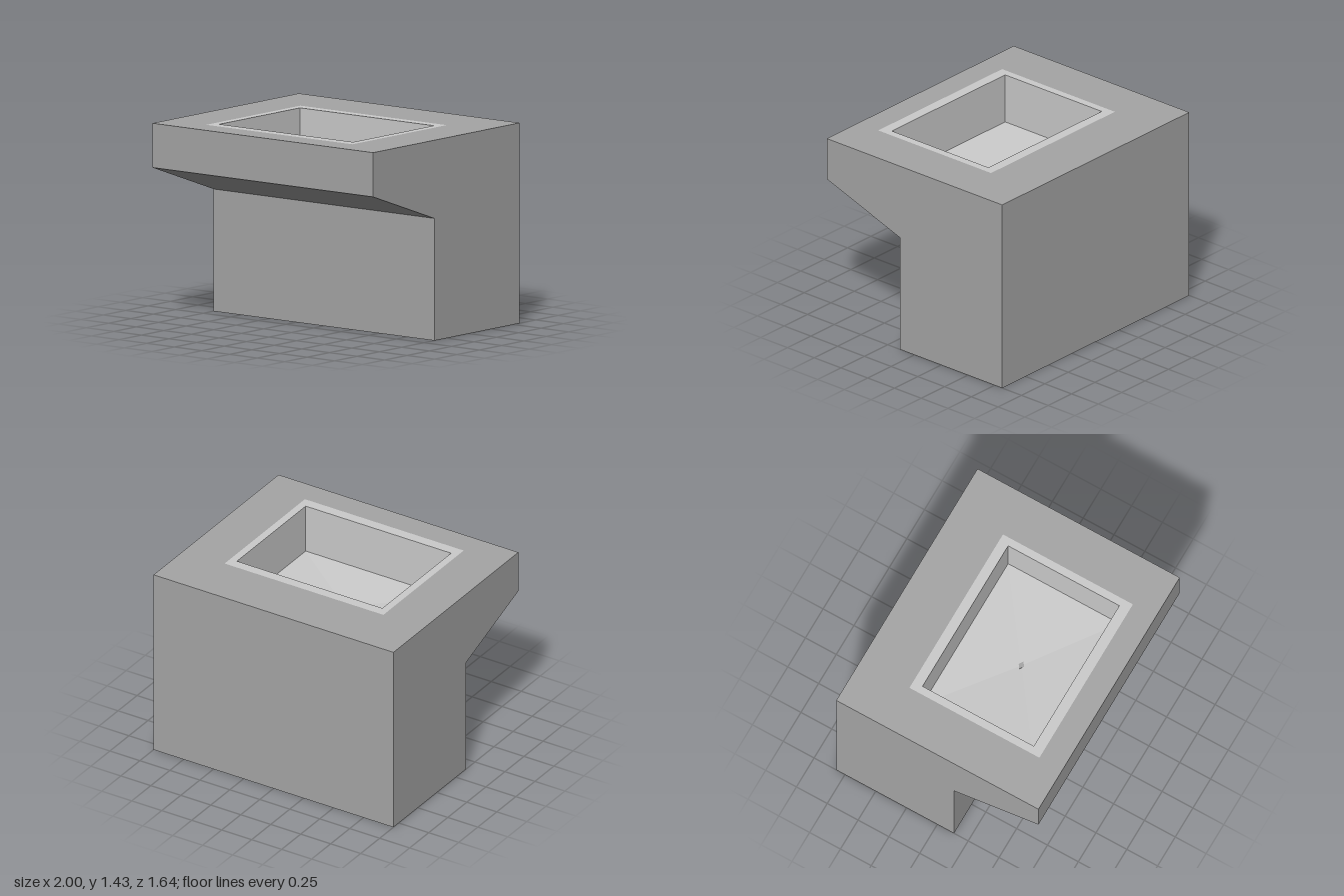
import * as THREE from 'three';

const stone = new THREE.MeshStandardMaterial({ color: 0xa5a5a5 });
stone.name = 'stone grey';
const enamel = new THREE.MeshStandardMaterial({ color: 0xcbcbcb });
enamel.name = 'light enamel';

const TOP = 1.43, FLOOR = 1.063, DRAIN = 1.03, DRAIN_Z = 0.108;

// Corners run counter-clockwise seen from the visible side; each face is a fan.
function faces(list) {
  const pos = [];
  for (const f of list) {
    for (let i = 1; i < f.length - 1; i++) pos.push(...f[0], ...f[i], ...f[i + 1]);
  }
  const g = new THREE.BufferGeometry();
  g.setAttribute('position', new THREE.Float32BufferAttribute(pos, 3));
  g.computeVertexNormals();
  return g;
}

// Rectangle corners in plan, counter-clockwise seen from above.
const rect = (x, z0, z1) => [[-x, z1], [x, z1], [x, z0], [-x, z0]];

// Flat upward-facing frame between two plan rectangles.
function frame(outer, inner) {
  const toV = ([x, z]) => new THREE.Vector2(x, -z);
  const shape = new THREE.Shape(outer.map(toV));
  shape.holes.push(new THREE.Path(inner.map(toV)));
  return new THREE.ShapeGeometry(shape).rotateX(-Math.PI / 2).translate(0, TOP, 0);
}

export function createModel() {
  const model = new THREE.Group();
  model.name = 'washbasin';
  const add = (name, geometry, material) => {
    const m = new THREE.Mesh(geometry, material);
    m.name = name;
    model.add(m);
    return m;
  };

  const block = rect(1, -0.82, 0.82);
  const rim = rect(0.662, -0.42, 0.634);
  const bowl = rect(0.606, -0.346, 0.556);

  // Side profile (z, y) from the inner corner under the overhang: front, top, back, base
  const profile = [[0.135, 0.872], [0.82, 1.114], [0.82, TOP], [-0.82, TOP], [-0.82, 0], [0.135, 0]];
  const shell = [];
  profile.forEach(([z0, y0], i) => {
    const [z1, y1] = profile[(i + 1) % profile.length];
    if (y0 === TOP && y1 === TOP) return; // the countertop closes this side
    shell.push([[-1, y0, z0], [1, y0, z0], [1, y1, z1], [-1, y1, z1]]);
  });
  add('bodyShell', faces(shell), stone);

  // Side panels; the left one runs the other way round so that it faces +x
  const panel = (x) => profile.map(([z, y]) => [x, y, z]);
  add('rightSide', faces([panel(-1)]), stone);
  add('leftSide', faces([panel(1).reverse()].map((p) => [p[5], ...p.slice(0, 5)])), stone);

  // Countertop and flush basin rim
  add('countertop', frame(block, rim), stone);
  add('basinRim', frame(rim, bowl), enamel);

  // Basin walls and floor falling towards the drain
  const walls = [], floor = [];
  bowl.forEach(([x0, z0], i) => {
    const [x1, z1] = bowl[(i + 1) % 4];
    walls.push([[x0, TOP, z0], [x1, TOP, z1], [x1, FLOOR, z1], [x0, FLOOR, z0]]);
    floor.push([[x0, FLOOR, z0], [x1, FLOOR, z1], [0, DRAIN, DRAIN_Z]]);
  });
  add('basinWalls', faces(walls), enamel);
  add('basinFloor', faces(floor), enamel);

  // Small diamond drain plate
  const drain = add('drain', new THREE.CylinderGeometry(0.032, 0.032, 0.008, 4), stone);
  drain.scale.z = 0.66;
  drain.position.set(0, DRAIN + 0.002, DRAIN_Z);

  return model;
}
